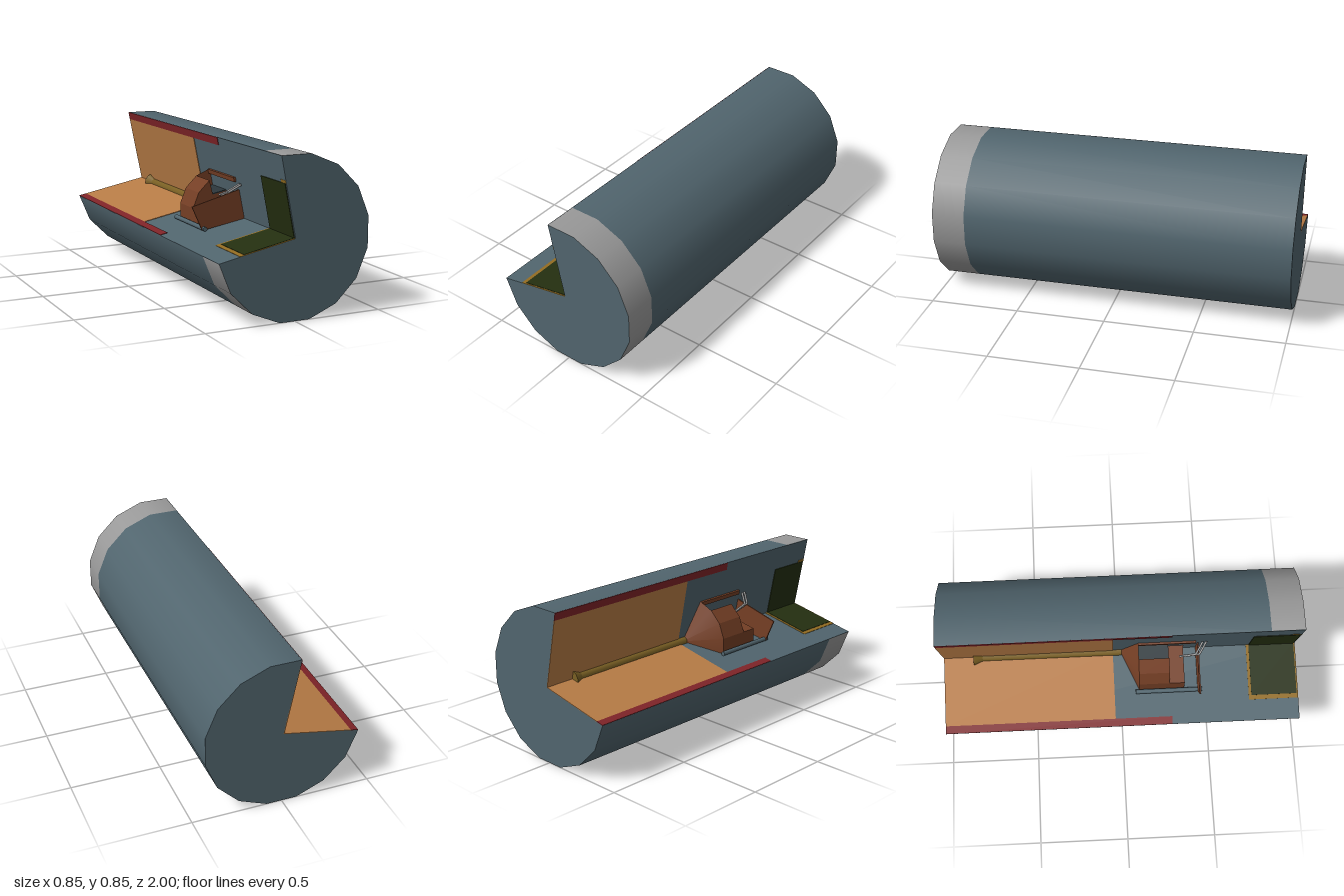
import * as THREE from 'three';

const mat = (name, color, opts = {}) => {
  const m = new THREE.MeshStandardMaterial({ color, ...opts });
  m.name = name;
  return m;
};

export function createModel() {
  const M = {
    slate: mat('slate', 0x51656e),
    grey: mat('grey', 0x999999),
    orange: mat('orange', 0xb87c46),
    red: mat('red', 0x802428),
    green: mat('dark green', 0x242f10),
    yellow: mat('ochre', 0x926c22),
    brown: mat('brown', 0x753f25),
    brass: mat('brass', 0x7a6024),
    dark: mat('dark glass', 0x2b363b),
  };
  const model = new THREE.Group();
  const R = 0.434, CY = 0.4255, deg = Math.PI / 180;

  const add = (parent, name, geo, material) => {
    const mesh = new THREE.Mesh(geo, material);
    mesh.name = name;
    parent.add(mesh);
    return mesh;
  };

  // Hull: sixteen-sided cylinder with a quarter cut out
  const hull = new THREE.Group();
  hull.name = 'hull';
  hull.position.y = CY;
  model.add(hull);
  const shell = (name, z0, z1, material) => {
    const g = new THREE.CylinderGeometry(R, R, z1 - z0, 12, 1, true, -78.75 * deg, 270 * deg);
    g.rotateX(Math.PI / 2).translate(0, 0, (z0 + z1) / 2);
    add(hull, name, g, material);
  };
  shell('hullSide', -1, 0.815, M.slate);
  shell('frontBand', 0.815, 1, M.grey);
  const cap = (start) => new THREE.CircleGeometry(R, 12, start * deg, 270 * deg);
  add(hull, 'frontCap', cap(-168.75).translate(0, 0, 1), M.slate);
  add(hull, 'backCap', cap(78.75).rotateY(Math.PI).translate(0, 0, -1), M.slate);

  // Cutaway frame: local x runs up the wall, local y runs out along the floor
  const cut = new THREE.Group();
  cut.name = 'cutaway';
  cut.position.y = CY;
  cut.rotation.z = 101.25 * deg;
  model.add(cut);

  const box = (name, x0, x1, y0, y1, z0, z1, material) => {
    const g = new THREE.BoxGeometry(x1 - x0, y1 - y0, z1 - z0);
    g.translate((x0 + x1) / 2, (y0 + y1) / 2, (z0 + z1) / 2);
    return add(cut, name, g, material);
  };
  // Thin panel on both cut faces, spanning radii r0..r1
  const floorPanel = (name, r0, r1, z0, z1, h, m) => box(name + 'Floor', -0.002, h, r0, r1, z0, z1, m);
  const wallPanel = (name, r0, r1, z0, z1, h, m) => box(name + 'Wall', r0, r1, -0.002, h, z0, z1, m);
  const panels = (...a) => { floorPanel(...a); wallPanel(...a); };
  panels('cutFace', 0, R, -1, 1, 0, M.slate);
  panels('tank', 0, 0.39, -1, -0.04, 0.003, M.orange);
  panels('lining', 0.39, 0.4335, -1, 0.28, 0.003, M.red);
  panels('noseBay', 0, 0.29, 0.735, 0.992, 0.004, M.green);
  floorPanel('noseFrame', 0, 0.315, 0.72, 1, 0.002, M.yellow);
  wallPanel('noseFrame', 0.29, 0.305, 0.95, 1, 0.002, M.yellow);

  // Central pipe with flared tail
  const pipe = (name, rBack, rFront, z0, z1, x, y, material) => {
    const g = new THREE.CylinderGeometry(rFront, rBack, z1 - z0, 12);
    g.rotateX(Math.PI / 2).translate(x, y, (z0 + z1) / 2);
    add(cut, name, g, material);
  };
  pipe('centralPipe', 0.028, 0.028, -0.8, 0.01, 0, 0, M.brass);
  pipe('pipeFlare', 0.05, 0.024, -0.83, -0.77, 0, 0, M.brass);

  // Cabin: quarter cone, drum with a notch, low bench and front plate
  const cone = new THREE.ConeGeometry(0.23, 0.1, 4, 1, false, 0, Math.PI / 2);
  add(cut, 'cabinCone', cone.rotateX(-Math.PI / 2).translate(0, 0, 0.05), M.brown);
  const prism = (name, pts, z0, z1, material) => {
    const shape = new THREE.Shape(pts.map(([x, y]) => new THREE.Vector2(x, y)));
    const g = new THREE.ExtrudeGeometry(shape, { depth: z1 - z0, bevelEnabled: false });
    add(cut, name, g.translate(0, 0, z0), material);
  };
  prism('cabinDrum', [[0, 0], [0, 0.23], [0.088, 0.2125], [0.163, 0.163],
    [0.2125, 0.088], [0.13, 0.083], [0.13, 0]], 0.1, 0.27, M.brown);
  box('notchPanel', 0.13, 0.135, 0, 0.082, 0.1, 0.27, M.dark);
  prism('bench', [[0, 0], [0, 0.23], [0.088, 0.2125], [0.088, 0]], 0.27, 0.355, M.brown);
  prism('frontPlate', [[0, 0], [0.005, 0.254], [0.147, 0.287], [0.164, 0]], 0.431, 0.439, M.brown);
  box('wallRail', 0.205, 0.23, 0, 0.012, 0.1, 0.42, M.brown);

  // Floor tube beside the cabin
  pipe('floorTube', 0.0125, 0.0125, 0.08, 0.455, 0.013, 0.243, M.slate);

  // Pair of bent control levers
  const rod = (a, b) => {
    const d = b.clone().sub(a);
    const g = new THREE.CylinderGeometry(0.006, 0.006, d.length(), 8);
    const mesh = add(cut, 'lever', g, M.grey);
    mesh.position.copy(a).addScaledVector(d, 0.5);
    mesh.quaternion.setFromUnitVectors(new THREE.Vector3(0, 1, 0), d.normalize());
  };
  for (const o of [0, 0.02]) {
    const p = [[0.136, 0.07, 0.33 + o], [0.166, 0.066, 0.42 + o], [0.199, 0.002, 0.46 + o]]
      .map((v) => new THREE.Vector3(...v));
    rod(p[0], p[1]);
    rod(p[1], p[2]);
  }
  return model;
}
